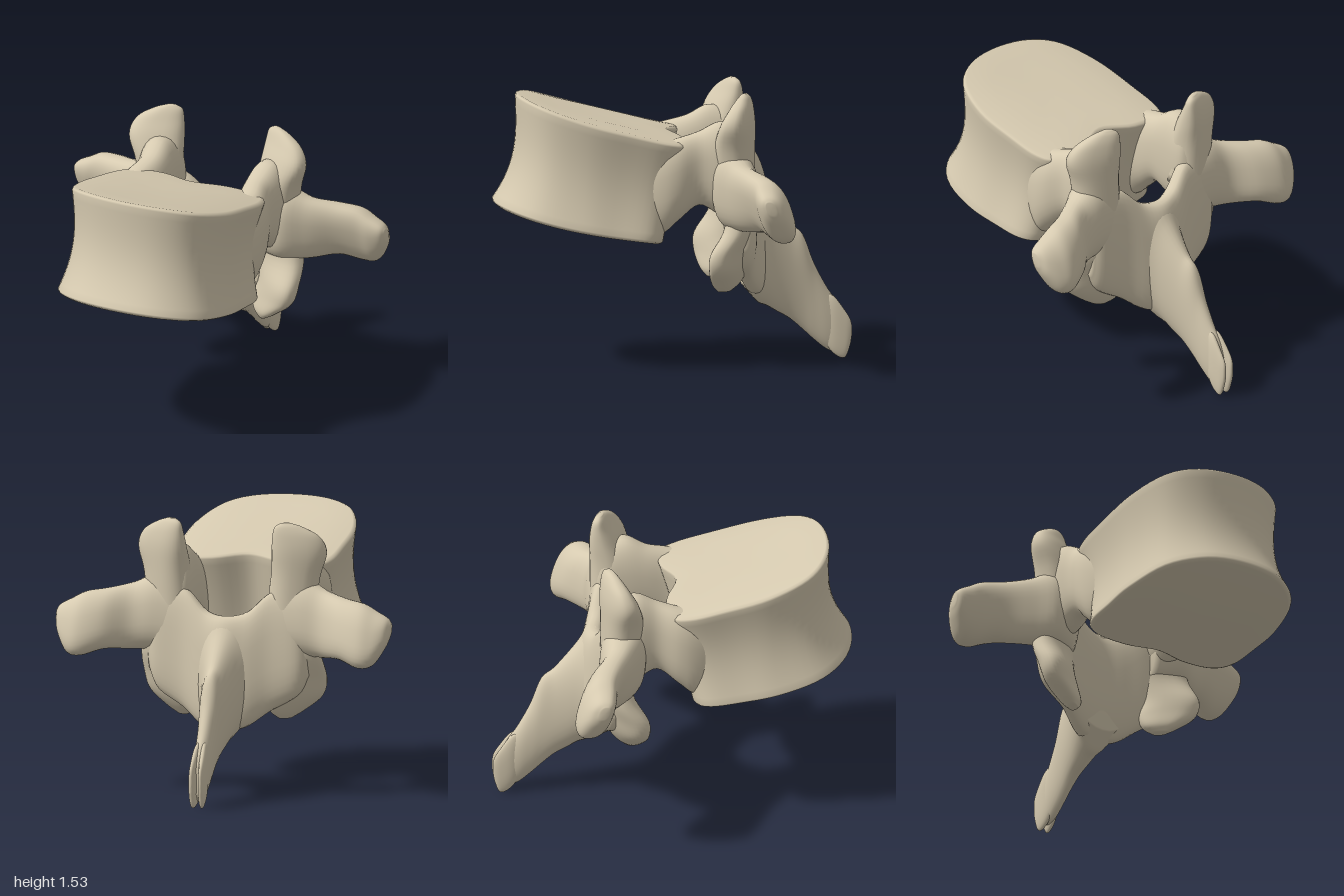
import * as THREE from 'three';

const bone = new THREE.MeshStandardMaterial({ color: 0xd6cab0 });
bone.name = 'bone';

// Closed smooth skin over a list of rings (arrays of Vector3 of equal length)
function skin(rings) {
  const n = rings[0].length;
  const pts = rings.flat();
  const index = [];
  for (let r = 0; r < rings.length - 1; r++) {
    for (let i = 0; i < n; i++) {
      const a = r * n + i, a1 = r * n + (i + 1) % n;
      index.push(a, a1, a1 + n, a, a1 + n, a + n);
    }
  }
  const centre = (ring) => ring.reduce((s, p) => s.add(p), new THREE.Vector3()).divideScalar(n);
  const first = pts.length, last = first + 1, base = (rings.length - 1) * n;
  pts.push(centre(rings[0]), centre(rings[rings.length - 1]));
  for (let i = 0; i < n; i++) {
    const j = (i + 1) % n;
    index.push(first, j, i, last, base + i, base + j);
  }
  // Turn the skin right side out by its signed volume
  let volume = 0;
  const cross = new THREE.Vector3();
  for (let i = 0; i < index.length; i += 3) {
    volume += pts[index[i]].dot(cross.crossVectors(pts[index[i + 1]], pts[index[i + 2]]));
  }
  if (volume < 0) index.reverse();
  const geometry = new THREE.BufferGeometry().setFromPoints(pts);
  geometry.setIndex(index);
  geometry.computeVertexNormals();
  return geometry;
}

// Loft through rounded sections [centre, half axis u, half axis v]; side = -1 mirrors in x
function loft(sections, side = 1, power = 2.4, segments = 32) {
  const curves = [0, 1, 2].map((k) => new THREE.CatmullRomCurve3(
    sections.map((s) => new THREE.Vector3(s[k][0] * side, s[k][1], s[k][2])), false, 'catmullrom', 0.5));
  const steps = (sections.length - 1) * 5;
  const soft = (w) => Math.sign(w) * Math.pow(Math.abs(w), 2 / power);
  const rings = [];
  for (let k = 0; k <= steps; k++) {
    const [c, u, v] = curves.map((curve) => curve.getPoint(k / steps));
    const ring = [];
    for (let i = 0; i < segments; i++) {
      const a = (i / segments) * Math.PI * 2;
      ring.push(c.clone().addScaledVector(u, soft(Math.cos(a))).addScaledVector(v, soft(Math.sin(a))));
    }
    rings.push(ring);
  }
  return skin(rings);
}

// Evenly sampled closed outline from its +x half, given as [x, z] from front to back
function outline(half) {
  const mirrored = half.slice(1, -1).reverse().map(([x, z]) => [-x, z]);
  const curve = new THREE.CatmullRomCurve3(
    [...half, ...mirrored].map(([x, z]) => new THREE.Vector3(x, 0, z)), true, 'catmullrom', 0.5);
  return Array.from({ length: 80 }, (_, i) => curve.getPoint(i / 80));
}

// Vertebral body: waisted D-shaped drum with sloping, slightly dished ends
function bodyGeometry() {
  const top = outline([[0, 0.865], [0.22, 0.83], [0.38, 0.72], [0.465, 0.5], [0.475, 0.25], [0.465, 0.05], [0.4, -0.05], [0.2, -0.06], [0, 0.01]]);
  const bottom = outline([[0, 1.0], [0.25, 0.955], [0.435, 0.8], [0.505, 0.55], [0.505, 0.35], [0.49, 0.17], [0.4, 0.09], [0.2, 0.09], [0, 0.13]]);
  const topY = (x, z) => 1.29 + 0.25 * z - 0.03 * Math.pow(Math.abs(x) / 0.47, 4);
  const bottomY = (x, z) => {
    const d = z - 0.12;
    return 0.69 + 0.13 * d + 0.14 * d * d * d + 0.12 * x * x;
  };
  // Each level: height fraction and inset scale
  const levels = [[0, 0.3], [0, 0.65], [0, 0.95], [0.012, 0.985]];
  for (let k = 0; k < 15; k++) levels.push([0.03 + 0.94 * k / 14, 1]);
  levels.push([0.988, 0.985], [1, 0.95], [1, 0.65], [1, 0.3]);
  return skin(levels.map(([t, s]) => top.map((p, i) => {
    const q = bottom[i].clone().lerp(p, t);
    const waist = Math.sin(Math.PI * t);
    const x = q.x * s * (1 - 0.09 * waist);
    const z = 0.45 + (q.z - 0.45) * s * (1 - (q.z > 0.45 ? 0.12 : 0.02) * waist);
    const dish = s < 0.95 ? 0.012 * (1 - s) : 0;
    const lo = bottomY(x, z) + dish, hi = topY(x, z) - dish;
    return new THREE.Vector3(x, lo + (hi - lo) * t, z);
  })));
}

// Paired parts, described on the +x side
const paired = {
  pedicle: [
    [[0.32, 1.0, 0.24], [0.08, 0, 0], [0, 0.15, 0]],
    [[0.34, 1.01, 0.1], [0.115, 0, 0], [0, 0.25, 0]],
    [[0.35, 1.06, 0.0], [0.112, 0, 0], [0, 0.23, 0]],
    [[0.33, 1.12, -0.12], [0.1, 0, 0], [0, 0.205, 0]],
    [[0.34, 1.12, -0.24], [0.115, 0, 0], [0, 0.26, 0]],
    [[0.34, 1.1, -0.36], [0.11, 0, 0], [0, 0.24, 0]],
    [[0.34, 1.08, -0.41], [0.07, 0, 0], [0, 0.14, 0]],
  ],
  upperJoint: [
    [[0.35, 1.0, -0.32], [0.12, 0, 0.04], [-0.04, 0, 0.1]],
    [[0.37, 1.22, -0.315], [0.125, 0, 0.05], [-0.04, 0, 0.1]],
    [[0.395, 1.36, -0.33], [0.142, 0, 0.06], [-0.03, 0, 0.08]],
    [[0.383, 1.45, -0.352], [0.122, 0, 0.05], [-0.02, 0, 0.052]],
    [[0.347, 1.505, -0.37], [0.075, 0, 0.03], [-0.01, 0, 0.03]],
    [[0.33, 1.53, -0.375], [0.025, 0, 0.01], [-0.004, 0, 0.012]],
  ],
  sideWing: [
    [[0.26, 0.98, -0.34], [0, 0, 0.09], [0, 0.2, 0.01]],
    [[0.42, 1.0, -0.315], [0, 0, 0.13], [0, 0.215, 0.01]],
    [[0.55, 0.975, -0.36], [0, 0, 0.1], [0, 0.185, 0.02]],
    [[0.68, 0.965, -0.445], [0, 0, 0.103], [0, 0.165, 0.04]],
    [[0.8, 0.938, -0.492], [0, 0, 0.1], [0, 0.172, 0.05]],
    [[0.88, 0.925, -0.492], [0, 0, 0.088], [0, 0.145, 0.045]],
    [[0.94, 0.955, -0.475], [0, 0, 0.062], [0, 0.083, 0.025]],
    [[0.965, 0.975, -0.46], [0, 0, 0.025], [0, 0.035, 0.01]],
  ],
  lowerJoint: [
    [[0.35, 1.0, -0.34], [0.11, 0, 0.03], [-0.02, 0, 0.08]],
    [[0.37, 0.8, -0.35], [0.14, 0, 0.05], [-0.03, 0, 0.075]],
    [[0.38, 0.65, -0.3], [0.14, 0, 0.09], [-0.03, 0, 0.08]],
    [[0.355, 0.55, -0.285], [0.135, 0, 0.085], [-0.03, 0, 0.07]],
    [[0.31, 0.47, -0.275], [0.085, 0, 0.055], [-0.02, 0, 0.055]],
    [[0.295, 0.425, -0.265], [0.03, 0, 0.025], [-0.01, 0, 0.025]],
  ],
  spineTip: [
    [[0.012, 0.24, -0.84], [0.02, 0, 0], [0, 0.13, 0]],
    [[0.02, 0.19, -0.9], [0.026, 0, 0], [0, 0.16, 0]],
    [[0.026, 0.14, -0.96], [0.02, 0, 0], [0, 0.133, 0]],
    [[0.027, 0.15, -0.99], [0.013, 0, 0], [0, 0.075, 0]],
    [[0.027, 0.16, -1.0], [0.006, 0, 0], [0, 0.03, 0]],
  ],
};

// Lamina: arched plate behind the canal, from one side across to the other
const laminaHalf = [
  [[0.46, 0.86, -0.35], [0, 0, 0.045], [0, 0.18, 0]],
  [[0.4, 0.85, -0.365], [0, 0, 0.07], [0, 0.28, 0]],
  [[0.25, 0.81, -0.385], [0, 0, 0.072], [0, 0.33, 0.01]],
  [[0.12, 0.71, -0.43], [0, 0, 0.08], [0, 0.32, 0.02]],
];
const lamina = [
  ...laminaHalf,
  [[0, 0.69, -0.46], [0, 0, 0.085], [0, 0.315, 0.02]],
  ...laminaHalf.map(([c, u, v]) => [[-c[0], c[1], c[2]], u, v]).reverse(),
];

// Rear spine, flaring forward into the lamina: [z, centre height, half width, half height]
const spine = [
  [-0.39, 0.7, 0.22, 0.28], [-0.43, 0.69, 0.205, 0.315], [-0.48, 0.65, 0.155, 0.33],
  [-0.53, 0.605, 0.122, 0.305], [-0.59, 0.55, 0.098, 0.285], [-0.66, 0.49, 0.077, 0.265],
  [-0.73, 0.43, 0.062, 0.265], [-0.79, 0.325, 0.053, 0.215],
  [-0.86, 0.23, 0.047, 0.175], [-0.92, 0.175, 0.034, 0.14], [-0.955, 0.15, 0.012, 0.08],
].map(([z, y, w, h]) => [[0, y, z], [w, 0, 0], [0, h, 0]]);

export function createModel() {
  const model = new THREE.Group();
  model.name = 'vertebra';
  const add = (name, geometry) => {
    const mesh = new THREE.Mesh(geometry, bone);
    mesh.name = name;
    model.add(mesh);
  };
  add('vertebralBody', bodyGeometry());
  add('lamina', loft(lamina, 1, 2.7));
  add('spine', loft(spine, 1, 2.1));
  for (const [name, sections] of Object.entries(paired)) {
    const title = name[0].toUpperCase() + name.slice(1);
    add('left' + title, loft(sections, 1));
    add('right' + title, loft(sections, -1));
  }
  return model;
}
